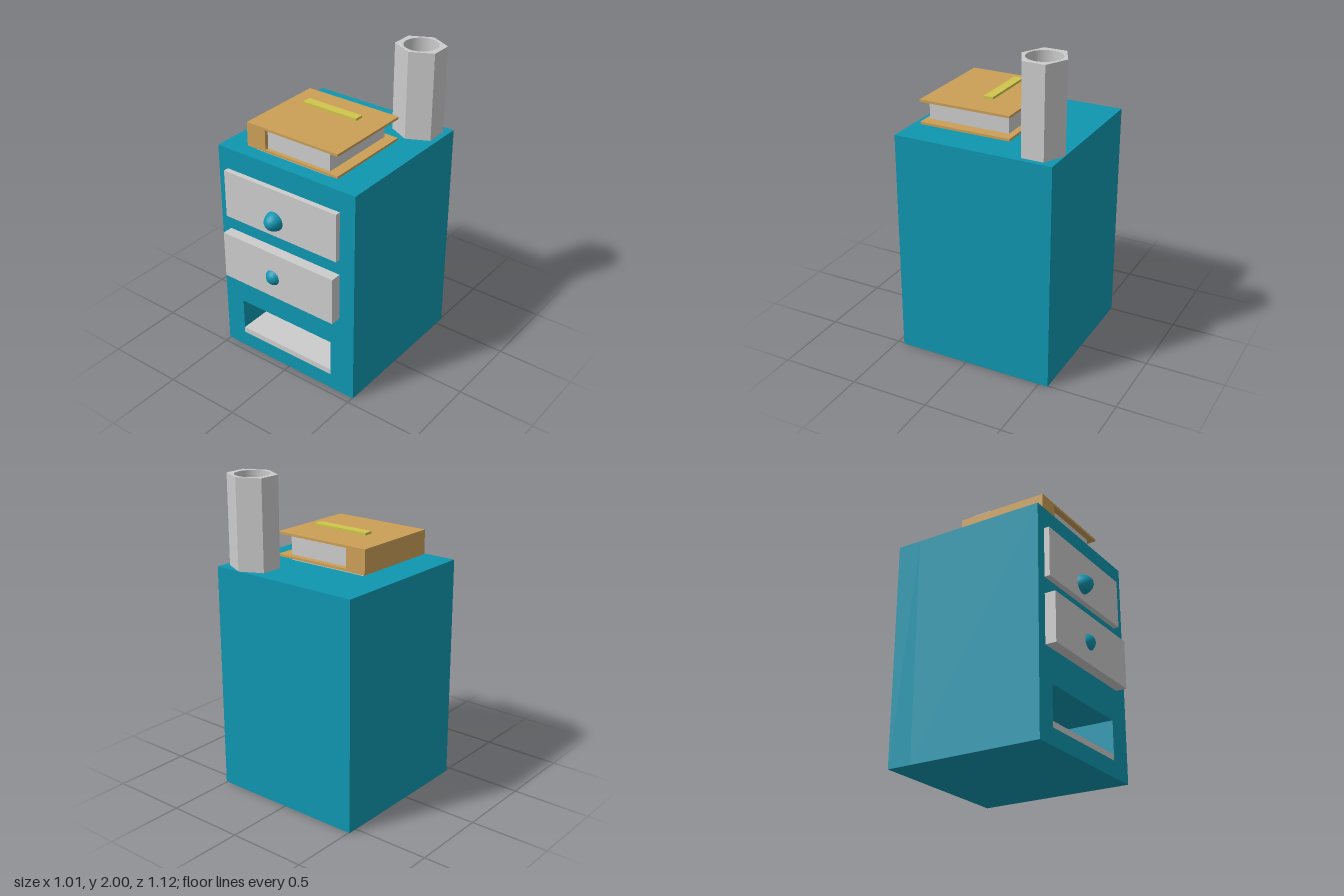
import * as THREE from 'three';

const material = (color) => new THREE.MeshStandardMaterial({ color });

// Closed outline from corner pairs
const outline = (points) => new THREE.Shape(points.map(([x, y]) => new THREE.Vector2(x, y)));

const rectangle = (x0, x1, y0, y1) => outline([[x0, y0], [x1, y0], [x1, y1], [x0, y1]]);

export function createModel() {
  const model = new THREE.Group();
  model.name = 'bedsideCabinet';
  const teal = material(0x0f96b0);
  const grey = material(0xcccccc);
  const leather = material(0xcc9f57);
  const yellow = material(0xcfc54c);

  const add = (name, geometry, mat, parent = model) => {
    const mesh = new THREE.Mesh(geometry, mat);
    mesh.name = name;
    parent.add(mesh);
    return mesh;
  };
  // Box given by its extents on each axis
  const box = (name, mat, [x0, x1], [y0, y1], [z0, z1], parent) => {
    const mesh = add(name, new THREE.BoxGeometry(x1 - x0, y1 - y0, z1 - z0), mat, parent);
    mesh.position.set((x0 + x1) / 2, (y0 + y1) / 2, (z0 + z1) / 2);
    return mesh;
  };

  // Cabinet body: front part with an open niche, closed by a back part
  const nicheBack = -0.4;
  const front = rectangle(-0.508, 0.506, 0, 1.44);
  front.holes.push(rectangle(-0.37, 0.335, 0.105, 0.355));
  const body = add('cabinetBody',
    new THREE.ExtrudeGeometry(front, { depth: 0.455 - nicheBack, bevelEnabled: false }), teal);
  body.position.z = nicheBack;
  box('cabinetBack', teal, [-0.508, 0.506], [0, 1.44], [-0.56, nicheBack]);
  box('nicheShelf', grey, [-0.37, 0.335], [0.105, 0.142], [nicheBack, 0.455]);

  // Drawers, the lower one pulled out a little further, with half-sunk knobs
  const drawers = [
    { name: 'upper', y: [0.985, 1.302], z: 0.49, knobY: 1.09 },
    { name: 'lower', y: [0.565, 0.88], z: 0.525, knobY: 0.705 },
  ];
  for (const d of drawers) {
    box(`${d.name}Drawer`, grey, [-0.44, 0.4], d.y, [0.44, d.z]);
    const knob = add(`${d.name}Knob`, new THREE.SphereGeometry(1, 32, 20), teal);
    knob.scale.set(0.064, 0.064, 0.09);
    knob.position.set(-0.055, d.knobY, 0.47);
  }

  // Book with thick spine, two covers and a page block
  const book = new THREE.Group();
  book.name = 'book';
  model.add(book);
  const coverZ = [-0.21, 0.385];
  box('spine', leather, [-0.334, -0.197], [1.46, 1.615], coverZ, book);
  box('bottomCover', leather, [-0.197, 0.331], [1.46, 1.475], coverZ, book);
  box('topCover', leather, [-0.197, 0.331], [1.6, 1.615], coverZ, book);
  box('pages', grey, [-0.29, 0.26], [1.44, 1.585], [-0.17, 0.36], book);
  box('titleBar', yellow, [-0.197, 0.194], [1.638, 1.653], [-0.03, 0.03], book);

  // Six-sided vase with a round bore and a closed floor
  const vase = new THREE.Group();
  vase.name = 'vase';
  vase.position.set(0.332, 1.44, -0.422);
  model.add(vase);
  const hexagon = () => outline(
    [[0, -0.139], [0.139, -0.07], [0.139, 0.07], [0, 0.139], [-0.139, 0.07], [-0.139, -0.07]]);
  const floor = 0.04;
  const wall = hexagon();
  wall.holes.push(new THREE.Path().absarc(0, 0, 0.106, 0, Math.PI * 2, true));
  const prism = (shape, depth) =>
    new THREE.ExtrudeGeometry(shape, { depth, bevelEnabled: false, curveSegments: 32 })
      .rotateX(-Math.PI / 2);
  add('vaseWall', prism(wall, 0.56 - floor), grey, vase).position.y = floor;
  add('vaseFloor', prism(hexagon(), floor), grey, vase);

  return model;
}
